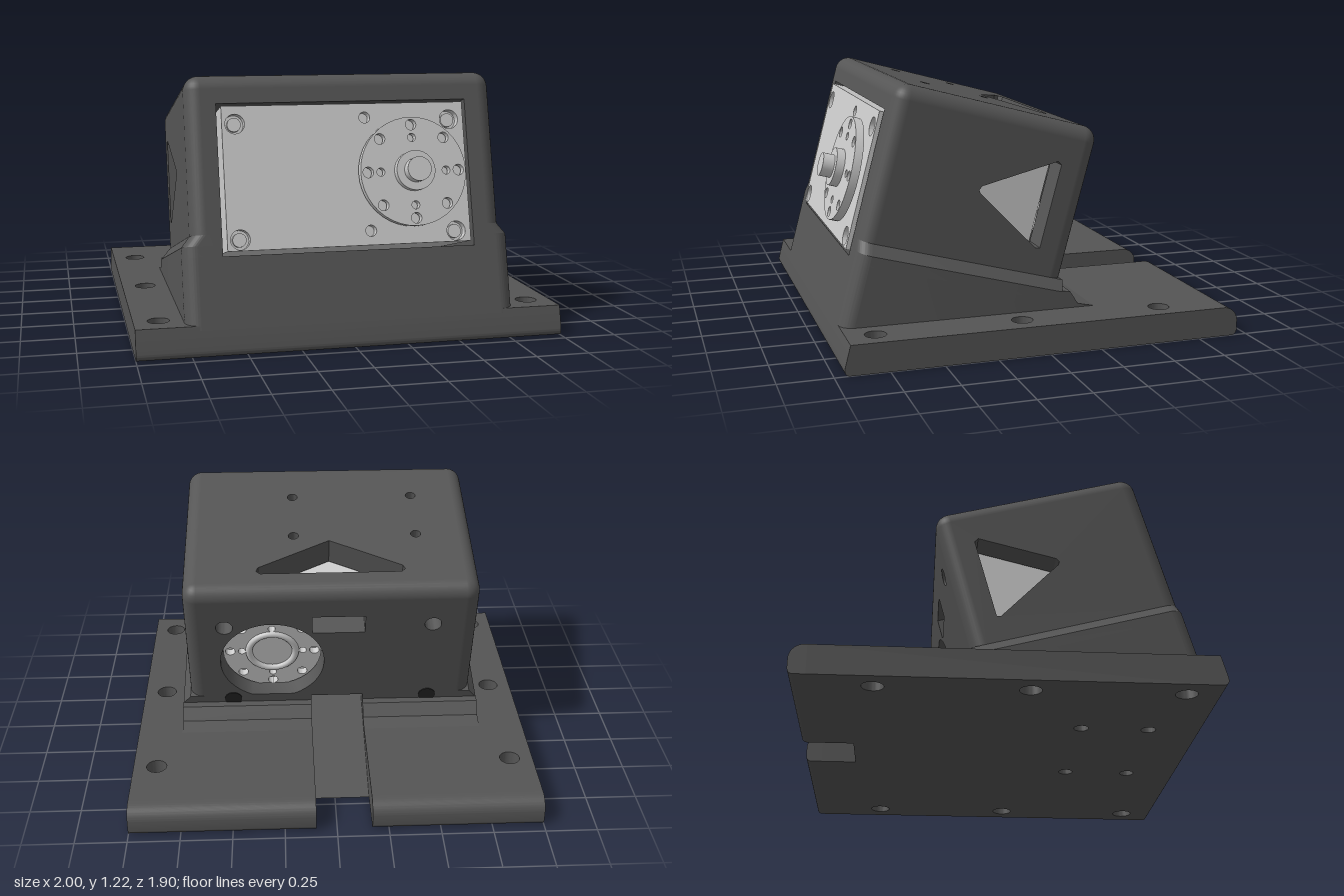
import * as THREE from 'three';
import { toCreasedNormals } from 'three/addons/utils/BufferGeometryUtils.js';

const TILT = THREE.MathUtils.degToRad(15);
const SIN = Math.sin(TILT), COS = Math.cos(TILT);
const dark = new THREE.MeshStandardMaterial({ color: 0x555555 });
const black = new THREE.MeshStandardMaterial({ color: 0x222222 });
const grey = new THREE.MeshStandardMaterial({ color: 0xcccccc });

function add(parent, name, geo, mat, x = 0, y = 0, z = 0) {
  const mesh = new THREE.Mesh(geo, mat);
  mesh.name = name;
  mesh.position.set(x, y, z);
  parent.add(mesh);
  return mesh;
}

const poly = (pts) => new THREE.Shape(pts.map((p) => new THREE.Vector2(...p)));
const rect = (x0, y0, x1, y1) => poly([[x0, y0], [x1, y0], [x1, y1], [x0, y1]]);
const circle = (x, y, r) => new THREE.Shape().absarc(x, y, r, 0, Math.PI * 2);

// Extrusions along z, along x (shape drawn as -z, y) and along y (shape drawn as x, -z)
function slabZ(shape, z0, z1, holes = []) {
  shape.holes.push(...holes);
  const geo = new THREE.ExtrudeGeometry(shape, { depth: z1 - z0, bevelEnabled: false, curveSegments: 20 });
  return toCreasedNormals(geo.translate(0, 0, z0), 0.5);
}
const slabX = (shape, x0, x1, holes) => slabZ(shape, x0, x1, holes).rotateY(Math.PI / 2);
const slabY = (shape, y0, y1, holes) => slabZ(shape, y0, y1, holes).rotateX(-Math.PI / 2);

// Disc or pin with its axis along z
function pin(parent, name, mat, r, x, y, z0, z1) {
  const geo = new THREE.CylinderGeometry(r, r, z1 - z0, 40).rotateX(Math.PI / 2);
  return add(parent, name, geo, mat, x, y, (z0 + z1) / 2);
}

function buildBase() {
  const base = new THREE.Group();
  base.name = 'base';
  const holes = [];
  for (const x of [-0.885, 0.885])
    for (const z of [-0.59, 0.1, 0.79]) holes.push(circle(x, -z, 0.05));
  for (const x of [-0.445, 0.18])
    for (const z of [0.38, 0.7]) holes.push(circle(x, -z, 0.035));
  const outline = poly([[-1, -0.86], [1, -0.86], [1, 0.87], [0.1, 0.87], [0.1, -0.05],
    [-0.17, -0.05], [-0.17, 0.87], [-1, 0.87]]);
  add(base, 'basePlate', slabY(outline, 0, 0.14, holes), dark);

  // Sloped front lip
  const lip = new THREE.Shape();
  lip.moveTo(-0.86, 0);
  lip.lineTo(-0.925, 0);
  lip.quadraticCurveTo(-0.96, 0, -0.951, 0.04);
  lip.lineTo(-0.925, 0.14);
  lip.lineTo(-0.86, 0.14);
  add(base, 'frontLip', slabX(lip, -1, 1), dark);

  // Rounded rear edges either side of the cable slot
  for (const [x0, x1] of [[-1, -0.17], [0.1, 1]]) {
    const edge = new THREE.Shape();
    edge.moveTo(0.87, 0);
    edge.lineTo(0.92, 0);
    edge.quadraticCurveTo(0.95, 0, 0.95, 0.03);
    edge.lineTo(0.95, 0.07);
    edge.absarc(0.88, 0.07, 0.07, 0, Math.PI / 2);
    edge.lineTo(0.87, 0.14);
    add(base, 'rearEdge', slabX(edge, x0, x1), dark);
  }
  add(base, 'cableRamp', slabX(poly([[0.7, 0], [-0.05, 0.2], [-0.05, 0]]), -0.17, 0.1), dark);

  // Flared foot behind the pedestal
  for (const [x0, x1] of [[-0.775, -0.17], [0.1, 0.775]]) {
    const foot = poly([[0.05, 0.1], [0.3, 0.13], [0.3, 0.14], [0.22, 0.158], [0.18, 0.22], [0.142, 0.225], [0.05, 0.2]]);
    add(base, 'rearFoot', slabX(foot, x0, x1), dark);
  }
  return base;
}

// Pedestal footprint with rounded front corners, rear cable slot and optional servo pocket
function footprint(pocket) {
  const s = new THREE.Shape(), X = 0.775, F = -0.93, r = 0.07;
  s.moveTo(-X, 0.08);
  s.lineTo(-X, F + r);
  s.absarc(-X + r, F + r, r, Math.PI, Math.PI * 1.5);
  if (pocket) for (const p of [[-0.595, F], [-0.595, -0.5], [0.595, -0.5], [0.595, F]]) s.lineTo(...p);
  s.lineTo(X - r, F);
  s.absarc(X - r, F + r, r, -Math.PI / 2, 0);
  for (const p of [[X, 0.08], [0.1, 0.08], [0.1, -0.1], [-0.17, -0.1], [-0.17, 0.08]]) s.lineTo(...p);
  return s;
}

function buildPedestal() {
  const pedestal = new THREE.Group();
  pedestal.name = 'pedestal';
  // Lower block: its underside is sheared to meet the level plate
  const block = slabY(footprint(false), -1, 0.2);
  const p = block.attributes.position;
  for (let i = 0; i < p.count; i++) if (p.getY(i) < 0) p.setY(i, (0.12 - SIN * p.getZ(i)) / COS);
  add(pedestal, 'pedestalBlock', toCreasedNormals(block, 0.5), dark);
  add(pedestal, 'pedestalRim', slabY(footprint(true), 0.2, 0.25), dark);
  // Chamfered top narrowing to the housing
  const cham = slabY(footprint(true), 0.25, 0.3);
  const q = cham.attributes.position;
  for (let i = 0; i < q.count; i++) {
    const x = q.getX(i);
    if (q.getY(i) > 0.28 && Math.abs(x) > 0.65) q.setX(i, x - Math.sign(x) * 0.04);
  }
  add(pedestal, 'pedestalChamfer', toCreasedNormals(cham, 0.5), dark);
  return pedestal;
}

function buildHousing() {
  const housing = new THREE.Group();
  housing.name = 'housing';
  const X = 0.735, T = 1.035, F = 0.93, B = -0.08, r = 0.07, t = 0.14, low = 0.29;
  const cx = X - r, cy = T - r, zf = F - r, zb = B + r;

  // Side walls with triangular windows
  for (const x0 of [-X, X - t]) {
    const tri = poly([[-0.075, 0.43], [-0.075, 0.835], [-0.095, 0.848], [-0.43, 0.66], [-0.44, 0.64], [-0.43, 0.625], [-0.095, 0.425]]);
    add(housing, 'sideWall', slabX(rect(-zf, low, -zb, cy), x0, x0 + t, [tri]), dark);
  }
  // Roof with triangular window and screw holes
  const roofHoles = [poly([[-0.35, -0.055], [-0.37, -0.075], [-0.36, -0.1], [0, -0.298], [0.36, -0.1], [0.37, -0.075], [0.35, -0.055]])];
  for (const x of [-0.445, 0.18]) for (const z of [0.34, 0.655]) roofHoles.push(circle(x, -z, 0.026));
  add(housing, 'roof', slabY(rect(-cx, -zf, cx, -zb), T - t, T, roofHoles), dark);
  // Open front frame
  const frame = poly([[-cx, low], [-0.595, low], [-0.595, 0.895], [0.595, 0.895], [0.595, low], [cx, low], [cx, cy], [-cx, cy]]);
  add(housing, 'frontFrame', slabZ(frame, F - t, F), dark);
  // Rear wall with horn opening, cable window and screw holes
  const rearHoles = [rect(-0.17, 0.75, 0.095, 0.86), circle(-0.51, 0.797, 0.042), circle(0.535, 0.797, 0.042)];
  const horn = new THREE.Shape();
  horn.absarc(0.3, 0.55, 0.265, -1.15, Math.PI + 1.15);
  rearHoles.push(horn);
  add(housing, 'rearWall', slabZ(rect(-cx, low, cx, cy), B, B + t, rearHoles), dark);
  for (const x of [-0.51, 0.51]) pin(housing, 'rearLowerHole', black, 0.045, x, 0.28, B - 0.004, B + 0.02);

  // Rounded edges and corners
  for (const z of [zf, zb]) {
    add(housing, 'topEdge', new THREE.CylinderGeometry(r, r, 2 * cx, 32).rotateZ(Math.PI / 2), dark, 0, cy, z);
    for (const x of [-cx, cx]) {
      add(housing, 'uprightEdge', new THREE.CylinderGeometry(r, r, cy - low, 32), dark, x, (cy + low) / 2, z);
      add(housing, 'corner', new THREE.SphereGeometry(r, 32, 16), dark, x, cy, z);
    }
  }
  for (const x of [-cx, cx])
    add(housing, 'sideTopEdge', new THREE.CylinderGeometry(r, r, zf - zb, 32).rotateX(Math.PI / 2), dark, x, cy, (zf + zb) / 2);
  return housing;
}

function buildServo() {
  const servo = new THREE.Group();
  servo.name = 'servo';
  add(servo, 'servoBody', new THREE.BoxGeometry(1.15, 0.66, 0.83), grey, 0, 0.55, 0.485);
  add(servo, 'cableSocket', new THREE.BoxGeometry(0.2, 0.02, 0.085), black, -0.02, 0.875, 0.132);
  // Front plate with screw recesses
  const holes = [];
  for (const y of [0.286, 0.814]) {
    for (const x of [-0.515, 0.505]) {
      holes.push(circle(x, y < 0.5 ? 0.27 : 0.797, 0.045));
      pin(servo, 'plateScrew', grey, 0.032, x, y < 0.5 ? 0.27 : 0.797, 0.89, 0.92);
    }
    holes.push(circle(0.095, y, 0.026));
  }
  add(servo, 'frontPlate', slabZ(rect(-0.575, 0.22, 0.575, 0.88), 0.9, 0.945, holes), grey);

  // Round horns with a ring of holes, front and rear
  const hornShape = () => circle(0.3, 0.55, 0.253);
  const ring = () => {
    const list = [];
    for (let i = 0; i < 8; i++) {
      const a = (i * Math.PI) / 4;
      list.push(circle(0.3 + 0.217 * Math.cos(a), 0.55 + 0.217 * Math.sin(a), 0.025));
      if (i % 2 === 0) list.push(circle(0.3 + 0.157 * Math.cos(a), 0.55 + 0.157 * Math.sin(a), 0.019));
    }
    return list;
  };
  pin(servo, 'hornCollar', grey, 0.13, 0.3, 0.55, 0.94, 0.97);
  add(servo, 'frontHorn', slabZ(hornShape(), 0.96, 1.0, ring()), grey);
  pin(servo, 'hornHub', grey, 0.092, 0.3, 0.55, 0.99, 1.04);
  pin(servo, 'hornShaft', grey, 0.056, 0.3, 0.55, 1.03, 1.095);
  add(servo, 'rearHorn', slabZ(hornShape(), 0.0, 0.04, ring()), grey);
  pin(servo, 'rearHornCollar', grey, 0.13, 0.3, 0.55, 0.03, 0.08);
  add(servo, 'rearHornRim', new THREE.TorusGeometry(0.12, 0.018, 12, 40), grey, 0.3, 0.55, 0);
  return servo;
}

export function createModel() {
  const model = new THREE.Group();
  model.name = 'tiltedServoMount';
  const tilted = new THREE.Group();
  tilted.name = 'tiltedAssembly';
  tilted.rotation.x = -TILT;
  tilted.add(buildPedestal(), buildHousing(), buildServo());
  model.add(buildBase(), tilted);
  return model;
}
